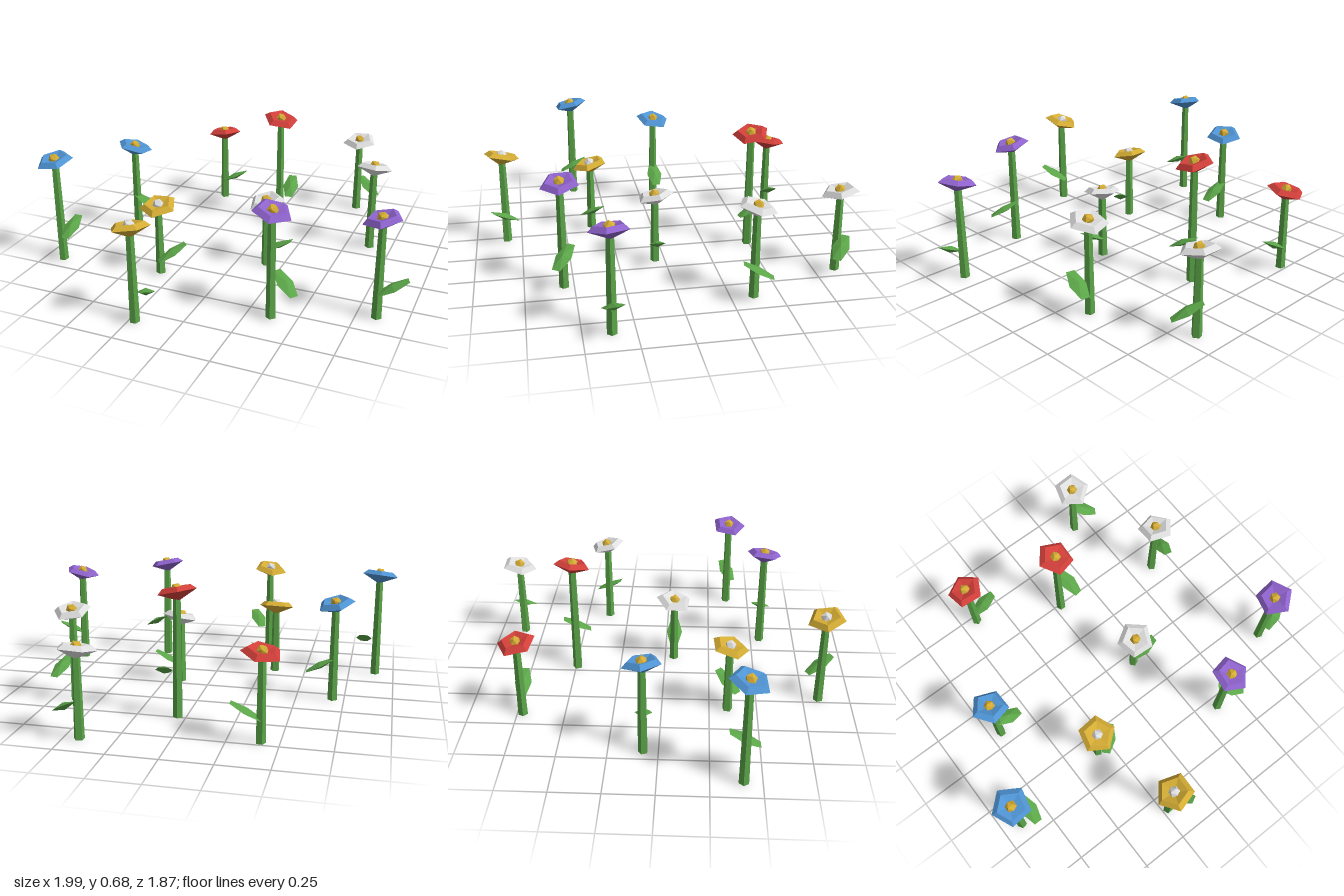
import * as THREE from 'three';

const material = (name, color) => {
  const m = new THREE.MeshStandardMaterial({ color, flatShading: true });
  m.name = name;
  return m;
};

const green = material('leaf green', 0x5ba548);
const blue = material('petal blue', 0x4f94d4);
const red = material('petal red', 0xd23f3a);
const white = material('petal white', 0xdedede);
const yellow = material('petal yellow', 0xd4ac34);
const purple = material('petal purple', 0x8e62cc);

// One row per flower: colour, x, z, rim height, head lean toward x and z,
// petal angle, leaf height and leaf direction (x, y, z)
const flowers = [
  [blue, -0.895, 0.41, 0.575, -0.1, 0.22, -95, 0.207, [0, -0.45, 0.9]],
  [blue, -0.69, -0.075, 0.515, 0.22, -0.15, -108, 0.185, [0.87, -0.48, 0]],
  [red, -0.41, -0.72, 0.432, -0.15, -0.15, -81, 0.15, [0.87, 0.45, 0]],
  [red, 0.04, -0.49, 0.64, 0.22, 0.15, -35, 0.24, [0.15, -0.45, 0.87]],
  [white, 0.42, -0.86, 0.437, -0.05, 0.2, 88, 0.157, [0.7, -0.45, 0.5]],
  [white, 0.63, -0.365, 0.478, 0.05, -0.25, 75, 0.178, [-0.2, 0.45, 0.87]],
  [white, 0.16, 0.05, 0.368, -0.15, 0.2, -85, 0.128, [0.87, 0.45, 0]],
  [yellow, -0.327, 0.345, 0.384, -0.03, 0.25, 85, 0.13, [0.6, 0.45, -0.6]],
  [yellow, -0.22, 0.832, 0.498, -0.2, -0.2, -105, 0.178, [0.4, 0.45, 0.8]],
  [purple, 0.373, 0.55, 0.56, 0.22, 0.12, -65, 0.2, [0.7, -0.45, 0.5]],
  [purple, 0.848, 0.363, 0.523, -0.24, 0.06, 85, 0.18, [0.8, 0.45, -0.35]],
];

// Five-sided blossom: cone below, bevelled rim, shallow dish on top
const petalGeometry = new THREE.LatheGeometry(
  [[0, -0.045], [0.1, 0], [0.072, 0.024], [0, 0.004]].map(([r, y]) => new THREE.Vector2(r, y)), 5);
const centreGeometry = new THREE.IcosahedronGeometry(0.03, 0);

// Long, thin six-sided lens with blunt ends
const leafGeometry = new THREE.SphereGeometry(1, 6, 2)
  .rotateY(Math.PI / 6)
  .scale(0.096, 0.018, 0.044);

function part(name, geometry, mat) {
  const mesh = new THREE.Mesh(geometry, mat);
  mesh.name = name;
  return mesh;
}

function makeFlower([petalMat, x, z, height, leanX, leanZ, angle, leafY, dir]) {
  const flower = new THREE.Group();
  flower.name = 'flower';
  flower.position.set(x, 0, z);

  // Tapered stem
  const stemHeight = height - 0.03;
  const stem = part('stem', new THREE.CylinderGeometry(0.02, 0.026, stemHeight, 5), green);
  stem.position.y = stemHeight / 2;
  stem.rotation.y = THREE.MathUtils.degToRad(angle);

  // Leaf beside the stem, sloping along its direction
  const leaf = part('leaf', leafGeometry, green);
  leaf.position.set(0.07, leafY, 0);
  leaf.rotation.order = 'YZX';
  leaf.rotation.y = Math.atan2(-dir[2], dir[0]);
  leaf.rotation.z = Math.atan2(dir[1], Math.hypot(dir[0], dir[2]));

  // Leaning head
  const head = new THREE.Group();
  head.name = 'flowerHead';
  head.position.y = height;
  head.quaternion.setFromUnitVectors(
    new THREE.Vector3(0, 1, 0), new THREE.Vector3(leanX, 1, leanZ).normalize());
  const petals = part('petals', petalGeometry, petalMat);
  petals.rotation.y = Math.PI / 2 - THREE.MathUtils.degToRad(angle);
  const centre = part('flowerCentre', centreGeometry, petalMat === yellow ? white : yellow);
  centre.position.y = 0.012;
  head.add(petals, centre);

  flower.add(stem, leaf, head);
  return flower;
}

export function createModel() {
  const model = new THREE.Group();
  model.name = 'flowerPatch';
  for (const row of flowers) model.add(makeFlower(row));
  return model;
}
